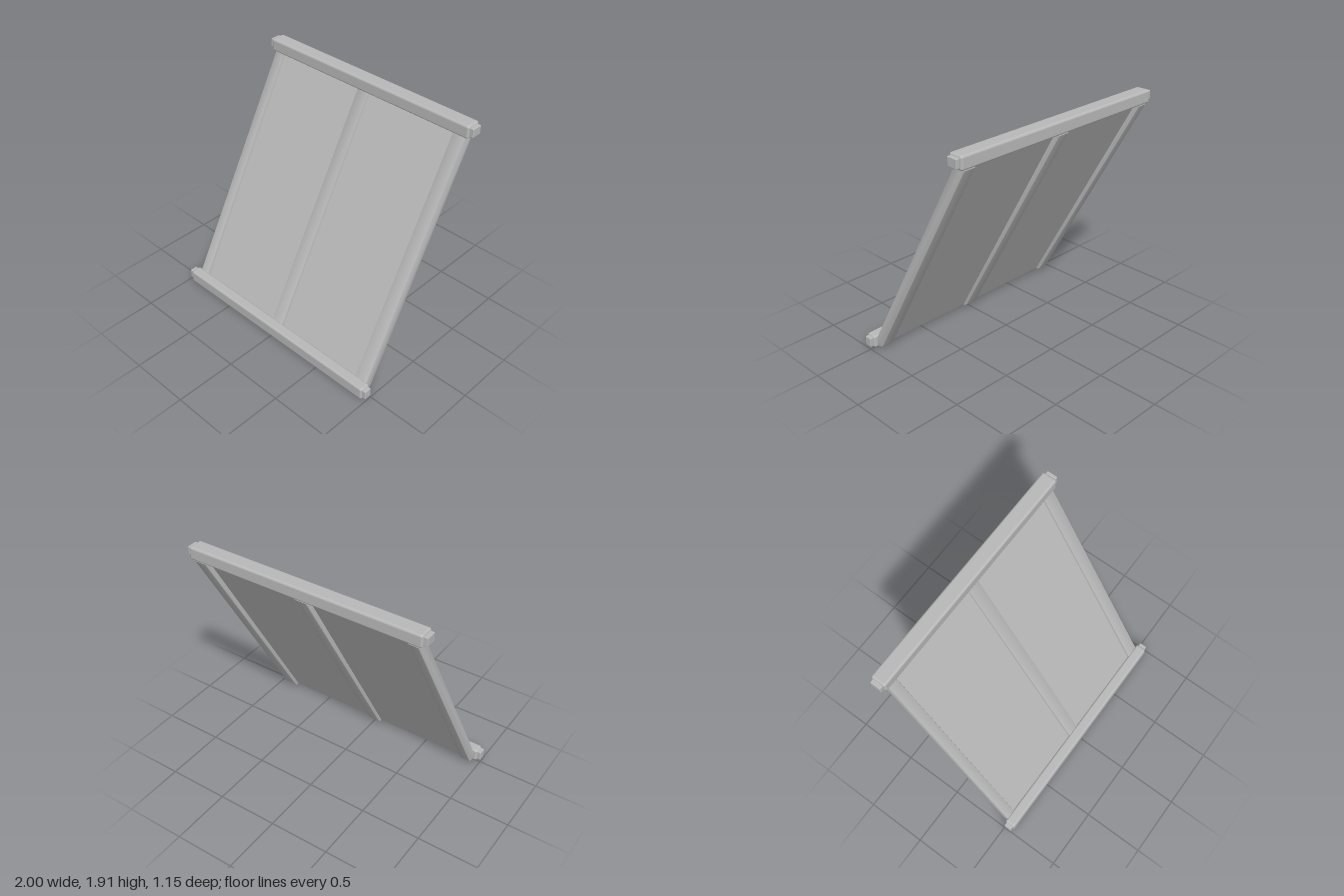
import * as THREE from 'three';
import { toCreasedNormals } from 'three/addons/utils/BufferGeometryUtils.js';
import { RoundedBoxGeometry } from 'three/addons/geometries/RoundedBoxGeometry.js';

const grey = new THREE.MeshStandardMaterial({ color: 0xb8b8b8 });
grey.name = 'plain grey';

// Extrude a side profile drawn in (z, y) across the model from x0 to x1
function slab(name, shape, x0, x1, bevel = 0) {
  const geo = new THREE.ExtrudeGeometry(shape, {
    depth: x1 - x0 - 2 * bevel,
    bevelEnabled: bevel > 0,
    bevelSize: bevel,
    bevelThickness: bevel,
    bevelOffset: -bevel,
    bevelSegments: 2,
    curveSegments: 6,
  });
  geo.rotateY(-Math.PI / 2);
  geo.translate(x1 - bevel, 0, 0);
  const mesh = new THREE.Mesh(toCreasedNormals(geo, 0.6), grey);
  mesh.name = name;
  return mesh;
}

// Rounded box given by its limits on each axis
function block(name, [x0, x1], [y0, y1], [z0, z1], radius) {
  const geo = new RoundedBoxGeometry(x1 - x0, y1 - y0, z1 - z0, 3, radius);
  const mesh = new THREE.Mesh(geo, grey);
  mesh.position.set((x0 + x1) / 2, (y0 + y1) / 2, (z0 + z1) / 2);
  mesh.name = name;
  return mesh;
}

// Horizontal rail with a square peg at each end
function rail(name, y, z, pegY, pegZ) {
  const group = new THREE.Group();
  group.name = name;
  group.add(block(name + 'Bar', [-0.97, 0.97], y, z, 0.018));
  group.add(block(name + 'LeftPeg', [0.92, 1], pegY, pegZ, 0.006));
  group.add(block(name + 'RightPeg', [-1, -0.92], pegY, pegZ, 0.006));
  return group;
}

export function createModel() {
  const model = new THREE.Group();
  model.name = 'slantedFramePanel';

  // Leaning stile with a rounded foot that turns into the lower rail
  const stile = new THREE.Shape();
  stile.moveTo(0.53, 0.015);
  stile.lineTo(0.53, 0.09);
  stile.lineTo(0.484, 0.1);
  stile.lineTo(-0.46, 1.8);
  stile.lineTo(-0.47, 1.84);
  stile.lineTo(-0.555, 1.84);
  stile.lineTo(-0.56, 1.8);
  stile.lineTo(0.42, 0.04);
  stile.quadraticCurveTo(0.435, 0.015, 0.47, 0.01);
  stile.closePath();
  const stiles = [
    ['rightStile', -0.94, -0.855],
    ['centreStile', -0.06, 0.045],
    ['leftStile', 0.835, 0.94],
  ];
  for (const [name, x0, x1] of stiles) model.add(slab(name, stile, x0, x1, 0.006));

  // Thin infill panels, recessed on both faces
  const infill = new THREE.Shape([
    [0.5, 0.02], [-0.505, 1.84], [-0.54, 1.84], [0.464, 0.02],
  ].map(([z, y]) => new THREE.Vector2(z, y)));
  model.add(slab('rightPanel', infill, -0.87, -0.05));
  model.add(slab('leftPanel', infill, 0.03, 0.85));

  // Upper and lower rails
  model.add(rail('upperRail', [1.81, 1.915], [-0.575, -0.453], [1.828, 1.9], [-0.557, -0.47]));
  model.add(rail('lowerRail', [0, 0.108], [0.485, 0.575], [0.018, 0.095], [0.5, 0.562]));

  return model;
}
